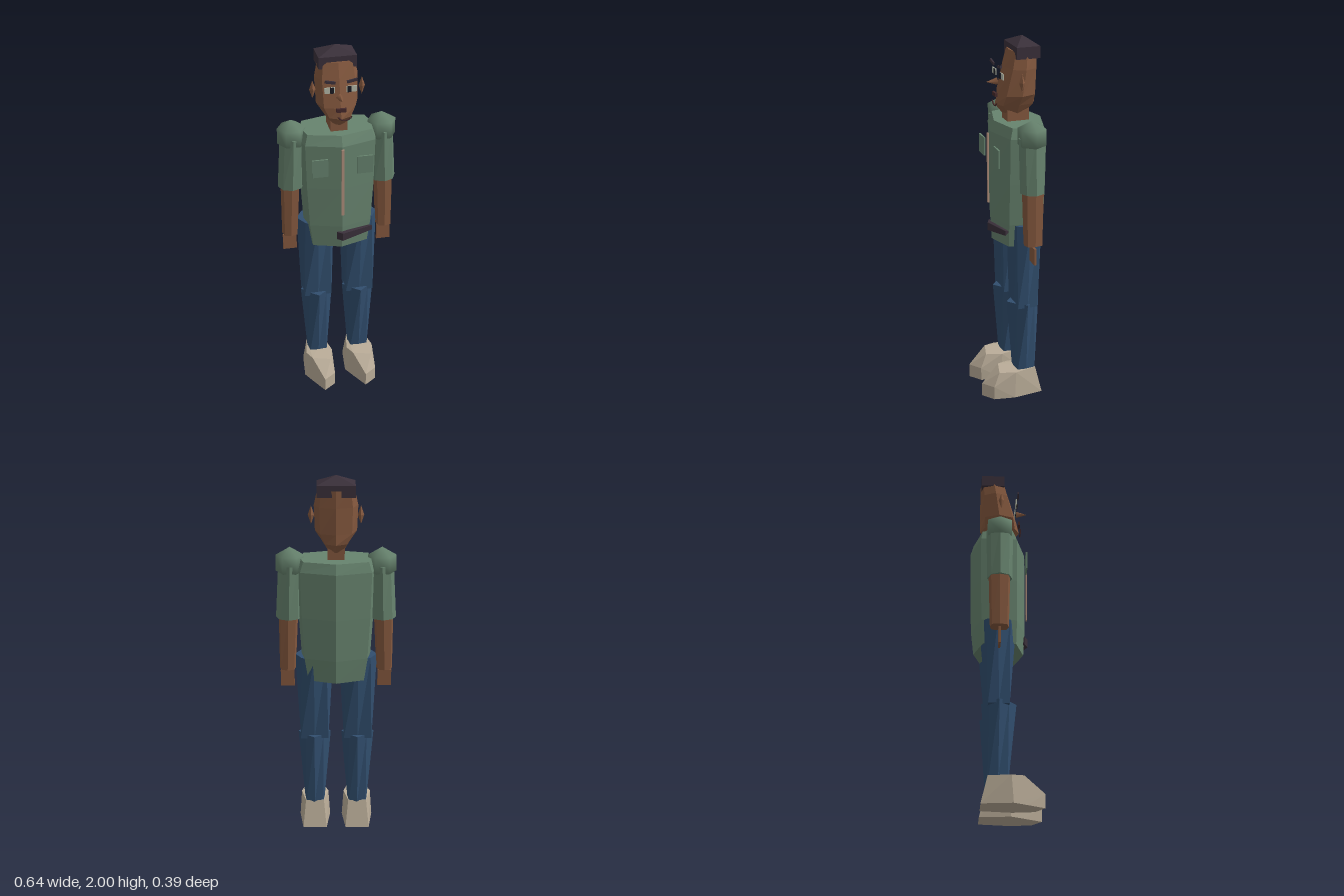
import * as THREE from 'three';
import { ConvexGeometry } from 'three/addons/geometries/ConvexGeometry.js';

const mat = (name, color) => {
  const m = new THREE.MeshStandardMaterial({ color });
  m.name = name;
  return m;
};

// Eight-sided loft. Each section is [y, centreX, centreZ, radiusX, radiusZ, cornerX, cornerZ];
// corner 0.5 gives a diamond, 0.7 an octagon, 1 a rectangle.
function loft(sections) {
  const pos = [], idx = [], n = 8;
  for (const [y, cx, cz, rx, rz, kx = 0.7, kz = kx] of sections) {
    for (let i = 0; i < n; i++) {
      const a = (i * Math.PI) / 4;
      const sx = Math.round(Math.sin(a)), sz = Math.round(Math.cos(a));
      const corner = i % 2 === 1;
      pos.push(cx + sx * rx * (corner ? kx : 1), y, cz + sz * rz * (corner ? kz : 1));
    }
  }
  for (let s = 0; s < sections.length - 1; s++) {
    for (let i = 0; i < n; i++) {
      const a = s * n + i, b = s * n + ((i + 1) % n);
      idx.push(a, b, b + n, a, b + n, a + n);
    }
  }
  const top = (sections.length - 1) * n;
  for (let i = 1; i < n - 1; i++) {
    idx.push(0, i + 1, i, top, top + i, top + i + 1);
  }
  const g = new THREE.BufferGeometry();
  g.setAttribute('position', new THREE.Float32BufferAttribute(pos, 3));
  g.setIndex(idx);
  const flat = g.toNonIndexed();
  flat.computeVertexNormals();
  return flat;
}

export function createModel() {
  const model = new THREE.Group();
  const skin = mat('skin', 0x84583e);
  const shirt = mat('shirt green', 0x67836e);
  const denim = mat('denim blue', 0x314e6e);
  const dark = mat('hair and belt', 0x3a303a);
  const shoe = mat('shoe beige', 0xb9ac98);
  const trim = mat('shirt placket', 0xb08f7c);
  const white = mat('eye white', 0xb4b8a8);
  const pupil = mat('pupil', 0x1a1c24);
  const lip = mat('lip', 0x44282a);

  const add = (name, geo, material, x = 0, y = 0, z = 0) => {
    const m = new THREE.Mesh(geo, material);
    m.name = name;
    m.position.set(x, y, z);
    model.add(m);
    return m;
  };
  const box = (w, h, d) => new THREE.BoxGeometry(w, h, d);

  // Head, with the face sloping back towards the crown
  add('head', loft([
    [1.595, 0, -0.035, 0.045, 0.07],
    [1.645, 0, -0.035, 0.075, 0.11, 0.75],
    [1.7, 0, -0.041, 0.11, 0.104, 0.75],
    [1.84, 0, -0.06, 0.115, 0.085, 0.75],
    [1.93, 0, -0.073, 0.095, 0.072, 0.8],
  ]), skin);
  add('neck', box(0.09, 0.12, 0.12), skin, 0, 1.575, -0.04);

  // Hair cap: a slab under a low four-sided peak
  const hairPoints = [new THREE.Vector3(0, 2, -0.075)];
  for (const x of [-0.1, 0.1]) for (const z of [-0.14, -0.012]) {
    hairPoints.push(new THREE.Vector3(x, 1.958, z), new THREE.Vector3(x, 1.895, z));
  }
  add('hair', new ConvexGeometry(hairPoints), dark);

  // Face details
  for (const s of [-1, 1]) {
    add('eye', box(0.055, 0.032, 0.006), white, s * 0.057, 1.806, 0.056);
    add('pupil', box(0.02, 0.032, 0.006), pupil, s * 0.045, 1.806, 0.06);
    const brow = add('eyebrow', box(0.055, 0.014, 0.009), dark, s * 0.057, 1.856, 0.068);
    brow.rotation.z = s * 0.2;
    const ear = add('ear', new THREE.OctahedronGeometry(1), skin, s * 0.13, 1.78, -0.03);
    ear.scale.set(0.017, 0.05, 0.016);
  }
  const nose = add('nose', new THREE.ConeGeometry(0.02, 0.06, 4), skin, -0.005, 1.765, 0.09);
  nose.rotation.x = Math.PI / 2;
  add('upperLip', box(0.052, 0.02, 0.012), lip, 0, 1.698, 0.075);
  const smile = add('smileLine',
    new THREE.TorusGeometry(0.04, 0.004, 4, 8, Math.PI * 0.7), lip, 0.018, 1.682, 0.082);
  smile.rotation.z = Math.PI * 1.15;

  // Shirt body
  add('shirtBody', loft([
    [0.89, 0, -0.04, 0.165, 0.135, 0.9, 0.65],
    [1.02, 0, -0.043, 0.185, 0.146, 0.9, 0.65],
    [1.25, 0, -0.045, 0.2, 0.15, 0.9, 0.65],
    [1.5, 0, -0.046, 0.208, 0.15, 0.9, 0.65],
    [1.555, 0, -0.05, 0.19, 0.13, 0.9, 0.65],
  ]), shirt);
  add('placket', box(0.015, 0.39, 0.008), trim, 0, 1.295, 0.114);
  for (const s of [-1, 1]) {
    add('chestPocket', box(0.085, 0.1, 0.009), shirt, s * 0.12, 1.39, 0.106);
  }

  // Belt tapering round the front of the waist
  add('belt', new ConvexGeometry([
    [-0.03, 0.99, 0.1], [-0.03, 0.945, 0.1], [0, 0.94, 0.118], [0, 0.985, 0.118],
    [0.17, 0.992, 0.075], [0.17, 0.965, 0.075], [0.15, 0.98, 0.04],
  ].map((p) => new THREE.Vector3(...p))), dark);

  for (const s of [-1, 1]) {
    // Arms
    add('shoulder', new THREE.SphereGeometry(0.087, 6, 3), shirt, s * 0.242, 1.525, -0.045);
    add('sleeve', loft([
      [1.225, s * 0.25, -0.045, 0.07, 0.067],
      [1.52, s * 0.242, -0.045, 0.062, 0.073],
    ]), shirt);
    add('forearm', loft([
      [0.935, s * 0.26, -0.047, 0.043, 0.05, 0.8],
      [1.26, s * 0.253, -0.047, 0.052, 0.058, 0.8],
    ]), skin);
    add('hand', box(0.075, 0.09, 0.012), skin, s * 0.262, 0.875, -0.047);

    // Legs: each segment turns from a diamond or octagon at the top to a square below
    const x = s * 0.118;
    add('thigh', loft([
      [0.535, x, -0.045, 0.076, 0.056, 1],
      [1.015, x, -0.05, 0.103, 0.1, 0.65],
    ]), denim);
    add('calf', loft([
      [0.135, x, -0.047, 0.053, 0.055, 0.9],
      [0.555, x, -0.042, 0.089, 0.092, 0.55],
    ]), denim);

    // Both shoes share one faceted shape
    add('shoe', new ConvexGeometry([
      [0, 0, 0.195], [0.067, 0, 0.145], [0.085, 0, 0.03], [0.065, 0, -0.135],
      [-0.065, 0, -0.135], [-0.085, 0, 0.03], [-0.05, 0, 0.1],
      [0, 0.075, 0.195], [0.067, 0.075, 0.145],
      [-0.05, 0.155, 0.085], [0.05, 0.15, 0.11], [0.075, 0.15, 0.02], [-0.075, 0.15, 0.02],
      [0.05, 0.153, -0.1], [-0.05, 0.153, -0.1],
    ].map((p) => new THREE.Vector3(...p))), shoe, x);
  }
  return model;
}
